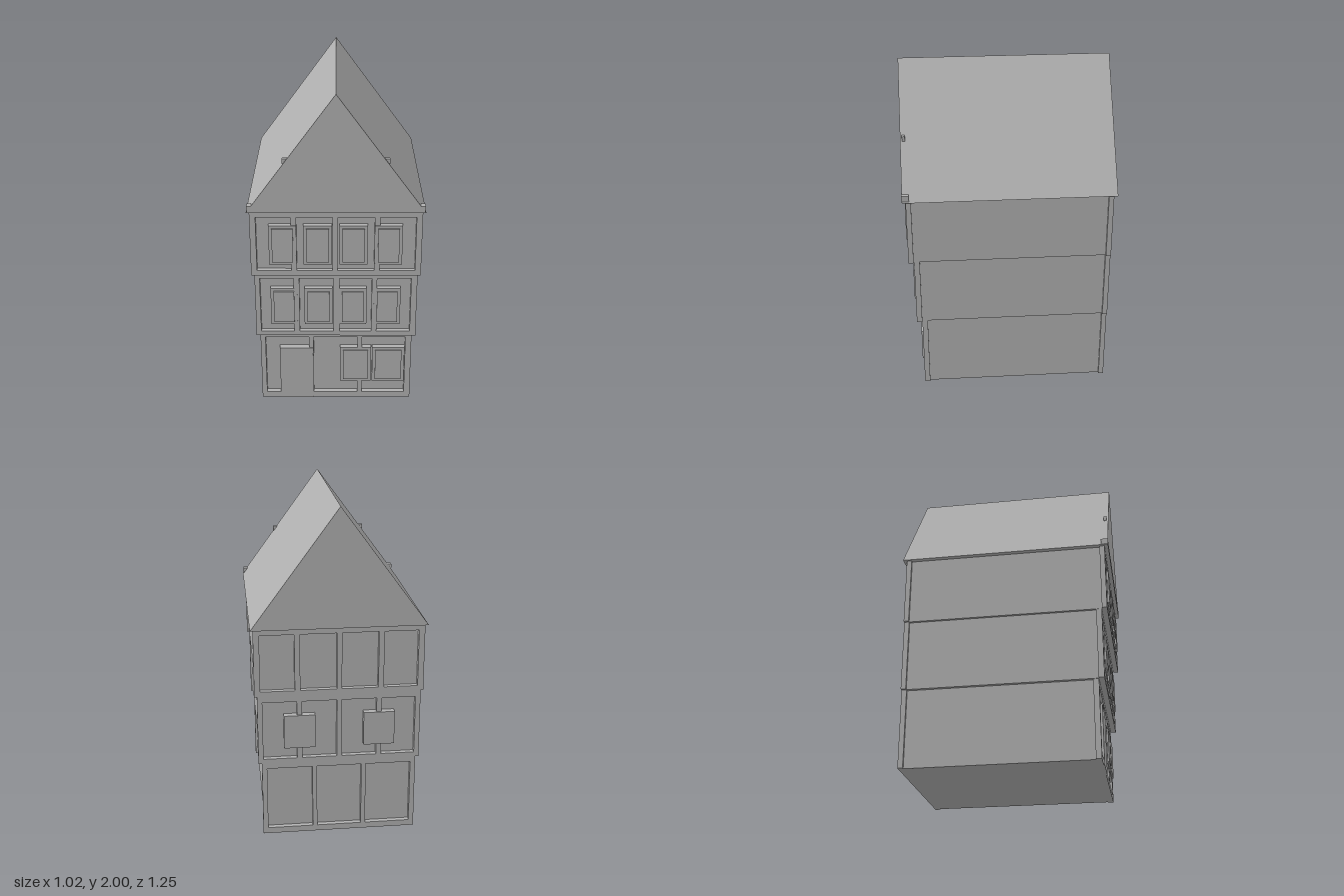
import * as THREE from 'three';

const plaster = new THREE.MeshStandardMaterial({ color: 0xb0b0b0 });
plaster.name = 'plain grey';

// Box given by its limits on each axis
function box(name, x0, x1, y0, y1, z0, z1) {
  const mesh = new THREE.Mesh(new THREE.BoxGeometry(x1 - x0, y1 - y0, z1 - z0), plaster);
  mesh.position.set((x0 + x1) / 2, (y0 + y1) / 2, (z0 + z1) / 2);
  mesh.name = name;
  return mesh;
}

// Timber frame: a thin sheet with rectangular openings between the posts
function timberFrame(name, half, y0, y1, z0, z1, holes, h0, h1) {
  const rect = (path, a, b, c, d) =>
    path.moveTo(a, c).lineTo(b, c).lineTo(b, d).lineTo(a, d).closePath();
  const shape = rect(new THREE.Shape(), -half, half, y0, y1);
  for (const [a, b] of holes) shape.holes.push(rect(new THREE.Path(), a, b, h0, h1));
  const geo = new THREE.ExtrudeGeometry(shape, { depth: z1 - z0, bevelEnabled: false });
  const mesh = new THREE.Mesh(geo, plaster);
  mesh.position.z = z0;
  mesh.name = name;
  return mesh;
}

// Window: casing flush with the frame and a pane standing slightly proud
function windowUnit(x0, x1, y0, y1, z0, z1, m) {
  const g = new THREE.Group();
  g.name = 'window';
  g.add(box('windowCasing', x0 - m, x1 + m, y0 - m, y1 + m, z0, z1 + 0.001));
  g.add(box('windowPane', x0, x1, y0, y1, z0, z1 + 0.01));
  return g;
}

const BACK = -0.575, BACK_FRAME = -0.605;
const upperWindows = [[-0.37, -0.248], [-0.17, -0.04], [0.037, 0.164], [0.243, 0.365]];
const floors = [
  {
    name: 'groundFloor', half: 0.46, y0: 0, y1: 0.468, wall: 0.507, front: 0.54, h0: 0.037, h1: 0.434,
    holes: [[-0.43, -0.164], [-0.137, 0.132], [0.159, 0.423]],
    windows: [[0.042, 0.196], [0.24, 0.402]], w0: 0.138, w1: 0.344,
    backHoles: [[-0.43, -0.16], [-0.133, 0.133], [0.16, 0.43]], backWindows: [],
  },
  {
    name: 'middleFloor', half: 0.48, y0: 0.468, y1: 0.895, wall: 0.54, front: 0.573, h0: 0.497, h1: 0.857,
    holes: [[-0.45, -0.25], [-0.217, -0.016], [0.02, 0.212], [0.243, 0.444]],
    windows: upperWindows, w0: 0.566, w1: 0.772,
    backHoles: [[-0.45, -0.25], [-0.22, -0.015], [0.015, 0.22], [0.25, 0.45]], backWindows: [-0.235, 0.235],
  },
  {
    name: 'topFloor', half: 0.495, y0: 0.895, y1: 1.305, wall: 0.575, front: 0.605, h0: 0.926, h1: 1.268,
    holes: [[-0.46, -0.26], [-0.228, -0.02], [0.01, 0.222], [0.254, 0.46]],
    windows: upperWindows, w0: 0.986, w1: 1.197,
    backHoles: [[-0.46, -0.26], [-0.228, -0.015], [0.015, 0.228], [0.26, 0.46]], backWindows: [],
  },
];

export function createModel() {
  const house = new THREE.Group();
  house.name = 'house';

  // Storeys, each one jutting out further than the one below
  for (const f of floors) {
    const g = new THREE.Group();
    g.name = f.name;
    const w = f.half - 0.014;
    g.add(box('walls', -w, w, f.y0, f.y1, BACK, f.wall));
    g.add(timberFrame('frontFrame', f.half, f.y0, f.y1, f.wall, f.front, f.holes, f.h0, f.h1));
    g.add(timberFrame('backFrame', f.half, f.y0, f.y1, BACK_FRAME, BACK, f.backHoles, f.h0, f.h1));
    for (const [a, b] of f.windows) g.add(windowUnit(a, b, f.w0, f.w1, f.wall, f.front, 0.018));
    for (const x of f.backWindows) {
      g.add(box('backWindow', x - 0.092, x + 0.092, f.w0, f.w1, BACK_FRAME - 0.01, BACK));
    }
    house.add(g);
  }

  house.add(box('door', -0.344, -0.14, 0, 0.36, 0.507, 0.546));

  // Steep gabled roof
  const gable = new THREE.Shape();
  gable.moveTo(-0.511, 1.303).lineTo(0.511, 1.303).lineTo(0, 2).closePath();
  const roof = new THREE.Mesh(
    new THREE.ExtrudeGeometry(gable, { depth: 1.25, bevelEnabled: false }), plaster);
  roof.position.z = -0.625;
  roof.name = 'roof';
  house.add(roof);

  // Beam ends showing through the roof slopes
  house.add(box('eavesBeam', -0.506, 0.506, 1.306, 1.345, 0.585, 0.627));
  house.add(box('collarBeam', -0.3, 0.3, 1.598, 1.627, 0.597, 0.614));
  return house;
}
